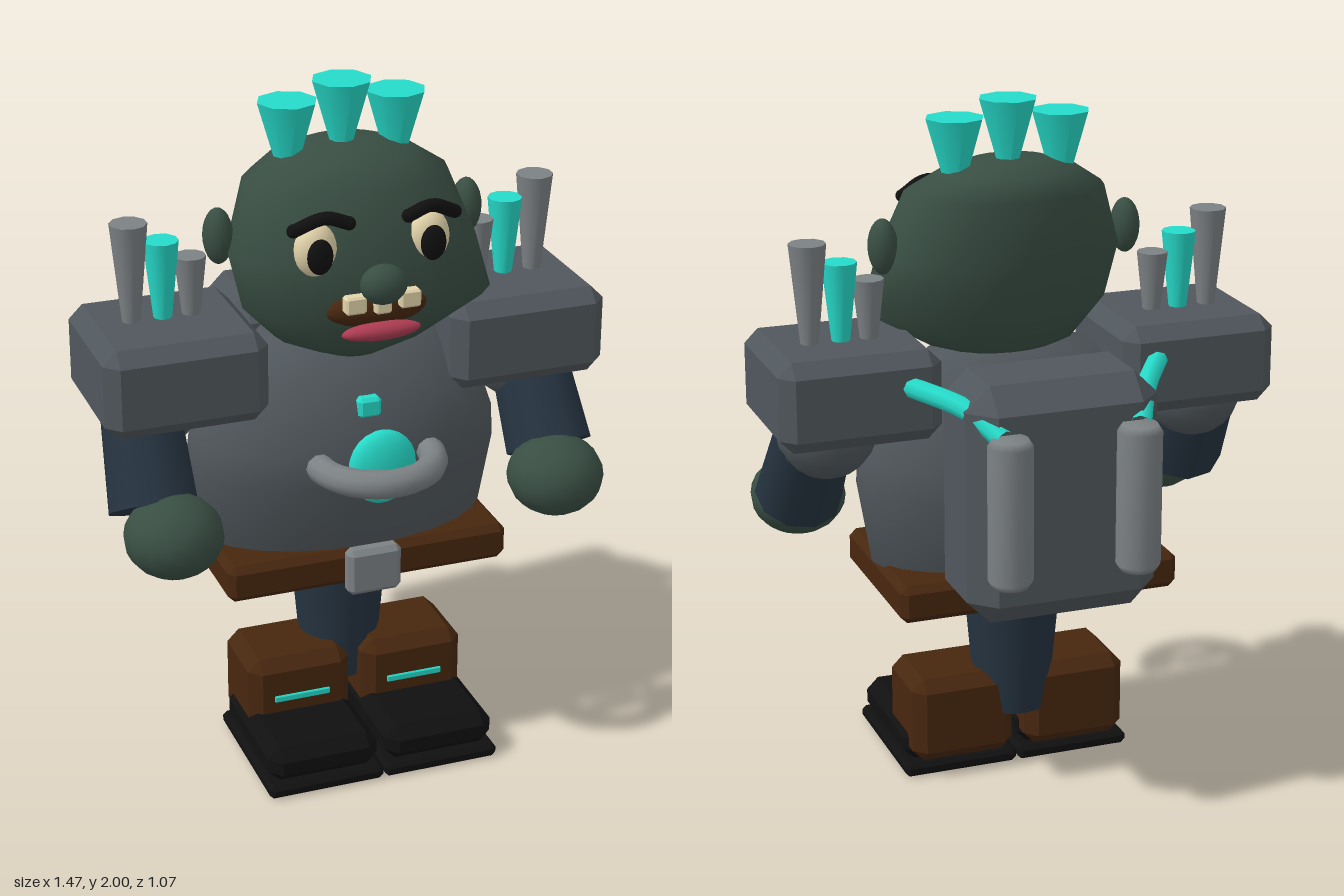
import * as THREE from 'three';
import { ConvexGeometry } from 'three/addons/geometries/ConvexGeometry.js';

const V = (x, y, z) => new THREE.Vector3(x, y, z);

export function createModel() {
  const model = new THREE.Group();
  model.name = 'armouredBrute';
  const mat = (name, color) => {
    const m = new THREE.MeshStandardMaterial({ color });
    m.name = name;
    return m;
  };
  const skin = mat('green skin', 0x394e43);
  const armour = mat('dark armour', 0x50575c);
  const steel = mat('light steel', 0x7c8184);
  const glow = mat('teal glow', 0x26dac9);
  const cloth = mat('navy cloth', 0x253340);
  const leather = mat('brown leather', 0x47270f);
  const black = mat('black rubber', 0x101011);
  const cream = mat('cream', 0xe2d3aa);
  const lipRed = mat('lip red', 0xae3c52);

  const add = (name, geometry, material, x = 0, y = 0, z = 0) => {
    const m = new THREE.Mesh(geometry, material);
    m.name = name;
    m.position.set(x, y, z);
    model.add(m);
    return m;
  };

  // Chamfered box given by its minimum and maximum corners
  const block = (name, material, [x0, y0, z0], [x1, y1, z1], c = 0.03) => {
    const h = [(x1 - x0) / 2, (y1 - y0) / 2, (z1 - z0) / 2];
    const pts = [];
    for (const sx of [-1, 1]) for (const sy of [-1, 1]) for (const sz of [-1, 1])
      for (let k = 0; k < 3; k++) {
        const p = h.map((v, i) => (i === k ? v : v - c));
        pts.push(V(p[0] * sx, p[1] * sy, p[2] * sz));
      }
    return add(name, new ConvexGeometry(pts), material, (x0 + x1) / 2, (y0 + y1) / 2, (z0 + z1) / 2);
  };

  const ball = (name, material, x, y, z, rx, ry = rx, rz = rx) =>
    add(name, new THREE.SphereGeometry(1, 16, 12).scale(rx, ry, rz), material, x, y, z);

  // Smooth body from elliptical sections: [y, xMin, xMax, zMin, zMax], bottom to top
  const loft = (name, material, rows, n = 20) => {
    const pos = [], idx = [];
    rows.forEach(([y, x0, x1, z0, z1], i) => {
      for (let j = 0; j < n; j++) {
        const a = (j / n) * Math.PI * 2;
        pos.push((x0 + x1) / 2 + Math.cos(a) * (x1 - x0) / 2, y, (z0 + z1) / 2 + Math.sin(a) * (z1 - z0) / 2);
        if (i === rows.length - 1) continue;
        const p = i * n + j, q = i * n + (j + 1) % n;
        idx.push(p, p + n, q, q, p + n, q + n);
      }
    });
    const g = new THREE.BufferGeometry();
    g.setAttribute('position', new THREE.Float32BufferAttribute(pos, 3));
    g.setIndex(idx);
    g.computeVertexNormals();
    return add(name, g, material);
  };

  // Tapered rod between two points
  const rod = (name, material, a, b, ra, rb, n = 12) => {
    const d = b.clone().sub(a);
    const m = add(name, new THREE.CylinderGeometry(rb, ra, d.length(), n), material);
    m.position.copy(a).addScaledVector(d, 0.5);
    m.quaternion.setFromUnitVectors(V(0, 1, 0), d.normalize());
    return m;
  };

  const tube = (name, material, pts, r) =>
    add(name, new THREE.TubeGeometry(new THREE.CatmullRomCurve3(pts), 12, r, 8), material);

  // Torso and its chest ornaments
  loft('torso', armour, [
    [0.565, 0, 0, 0.03, 0.03], [0.565, -0.31, 0.31, -0.15, 0.22], [0.565, -0.31, 0.31, -0.15, 0.22],
    [0.68, -0.425, 0.425, -0.2, 0.28], [0.9, -0.46, 0.46, -0.225, 0.32], [1.0, -0.45, 0.45, -0.21, 0.325],
    [1.12, -0.41, 0.41, -0.17, 0.28], [1.28, -0.25, 0.25, -0.09, 0.2], [1.28, 0, 0, 0.05, 0.05]], 24);
  ball('chestGem', glow, 0, 0.985, 0.385, 0.1, 0.11, 0.042);
  block('chestLight', glow, [-0.034, 1.09, 0.25], [0.034, 1.15, 0.295], 0.01);
  add('chestHandle', new THREE.TorusGeometry(0.163, 0.04, 10, 20, Math.PI).rotateX(Math.PI / 2), steel, 0, 0.983, 0.33);

  // Belt and legs
  block('belt', leather, [-0.42, 0.58, -0.23], [0.42, 0.69, 0.3], 0.02);
  block('buckle', steel, [-0.08, 0.565, 0.29], [0.08, 0.705, 0.345], 0.015);
  rod('legs', cloth, V(0, 0.18, 0.03), V(0, 0.58, 0.027), 0.11, 0.145, 16);

  // Head
  loft('head', skin, [
    [1.24, 0, 0, 0.12, 0.12], [1.25, -0.1, 0.1, 0.04, 0.22], [1.3, -0.22, 0.24, -0.05, 0.285],
    [1.4, -0.315, 0.41, -0.09, 0.345], [1.56, -0.35, 0.365, -0.115, 0.345], [1.74, -0.29, 0.295, -0.125, 0.28],
    [1.8, -0.2, 0.2, -0.09, 0.2], [1.83, -0.11, 0.11, -0.02, 0.13], [1.83, 0, 0, 0.05, 0.05]]);
  ball('nose', skin, 0, 1.525, 0.385, 0.066, 0.056, 0.05);
  ball('mouth', leather, 0, 1.44, 0.335, 0.145, 0.052, 0.04);
  ball('lowerLip', lipRed, 0, 1.385, 0.37, 0.115, 0.026, 0.03);
  for (const [x, y, w] of [[-0.078, 1.473, 0.03], [0, 1.465, 0.024], [0.078, 1.473, 0.03]])
    block('tooth', cream, [x - w, y - 0.025, 0.355], [x + w, y + 0.025, 0.392], 0.006);

  // Crest of inverted spikes
  for (const [x, top] of [[-0.157, 1.955], [0, 2], [0.157, 1.955]])
    rod('crestSpike', glow, V(x, top - 0.25, 0.055), V(x, top, 0.055), 0.012, 0.085, 8);

  // Backpack
  block('backpack', armour, [-0.28, 0.62, -0.448], [0.28, 1.31, -0.12], 0.07);

  // Mirrored parts
  for (const s of [-1, 1]) {
    const box = (name, m, a, b, c) => block(name, m,
      [s < 0 ? -b[0] : a[0], a[1], a[2]], [s < 0 ? -a[0] : b[0], b[1], b[2]], c);

    // Face
    ball('ear', skin, s * 0.365, 1.6, 0.075, 0.042, 0.08, 0.05);
    ball('eye', cream, s * 0.162, 1.612, 0.295, 0.06, 0.076, 0.045);
    ball('pupil', black, s * 0.162, 1.605, 0.335, 0.037, 0.05, 0.02);
    const brow = [V(s * 0.085, 1.695, 0.345), V(s * 0.15, 1.715, 0.34), V(s * 0.23, 1.68, 0.315)];
    tube('eyebrow', black, brow, 0.019);
    ball('eyebrowInnerEnd', black, brow[0].x, brow[0].y, brow[0].z, 0.019);
    ball('eyebrowOuterEnd', black, brow[2].x, brow[2].y, brow[2].z, 0.019);

    // Shoulder plate with spikes
    box('shoulderPlate', armour, [0.27, 1.1, -0.188], [0.737, 1.36, 0.25], 0.04);
    for (const [x, top, r, m] of [[0.6, 1.645, 0.053, steel], [0.51, 1.585, 0.05, glow], [0.428, 1.53, 0.045, steel]])
      rod('shoulderSpike', m, V(s * x, 1.34, 0.015), V(s * x, top, 0.015), 0.024, r, 10);

    // Arm
    ball('shoulderJoint', armour, s * 0.56, 1.11, 0.01, 0.145);
    rod('sleeve', cloth, V(s * 0.59, 1.08, 0.04), V(s * 0.6, 0.86, 0.18), 0.115, 0.128, 10);
    ball('hand', skin, s * 0.573, 0.822, 0.285, 0.14, 0.117, 0.14);

    // Boot
    box('bootShaft', leather, [0.02, 0.05, -0.06], [0.33, 0.31, 0.205], 0.035);
    box('bootToe', black, [0.012, 0.035, -0.01], [0.343, 0.145, 0.425], 0.035);
    box('bootSole', black, [0.003, 0, -0.03], [0.35, 0.04, 0.435], 0.012);
    box('bootStripe', glow, [0.09, 0.18, 0.203], [0.26, 0.2, 0.212], 0.003);

    // Exhaust pipe and hose
    const pipe = [[0, 0], [0.05, 0], [0.063, 0.02], [0.063, 0.405], [0.05, 0.425], [0, 0.425]];
    add('exhaustPipe', new THREE.LatheGeometry(pipe.map(p => new THREE.Vector2(...p)), 16), steel, s * 0.188, 0.765, -0.478);
    tube('hose', glow, [V(s * 0.2, 1.18, -0.455), V(s * 0.26, 1.235, -0.34), V(s * 0.37, 1.265, -0.17)], 0.03);
  }
  return model;
}
